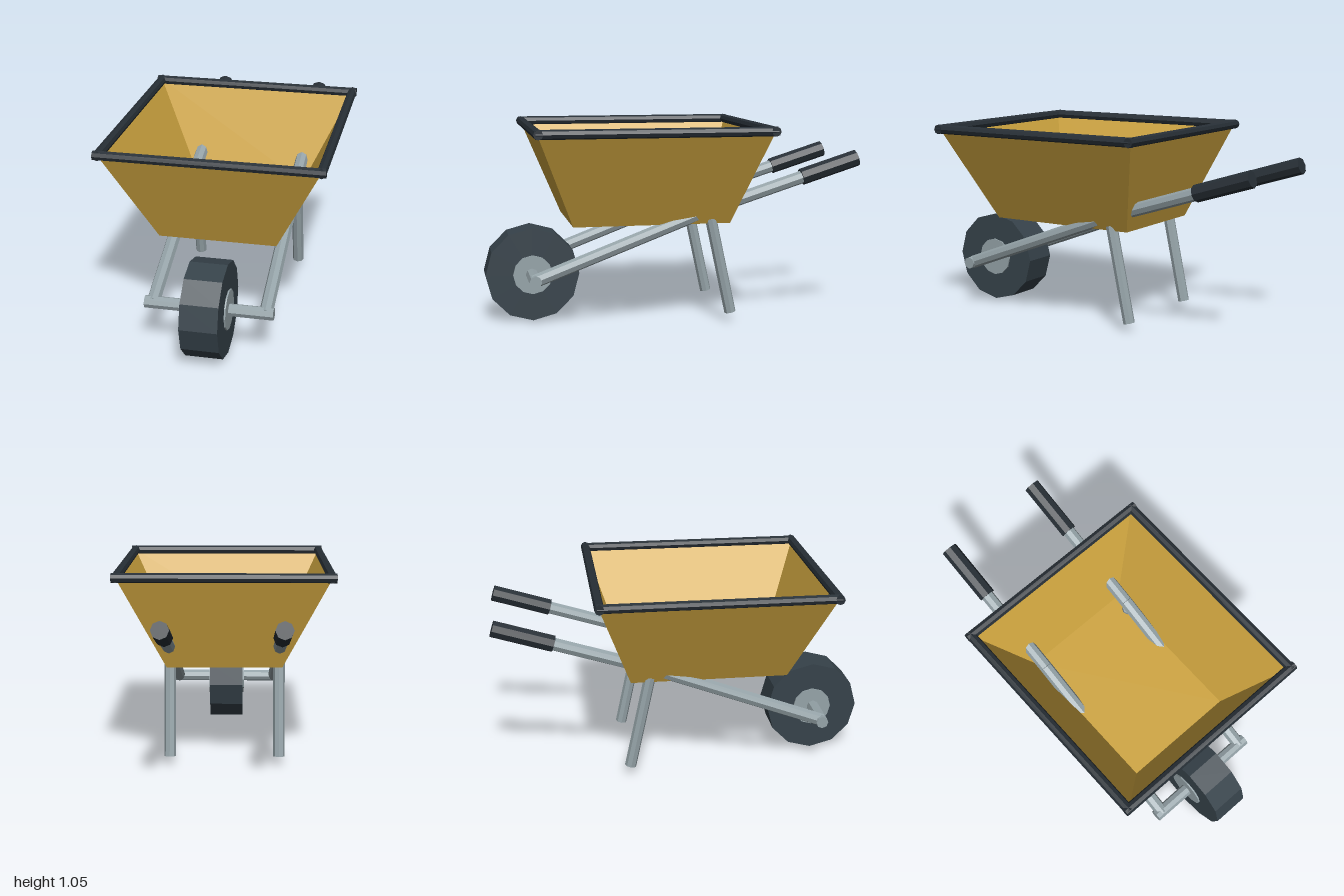
import * as THREE from 'three';

const mat = (name, color, side = THREE.FrontSide) =>
  new THREE.MeshStandardMaterial({ name, color, side, flatShading: true });

export function createModel() {
  const group = new THREE.Group();
  group.name = 'wheelbarrow';
  const yellow = mat('trayYellow', 0xd0a640, THREE.DoubleSide);
  const metal = mat('steelGrey', 0x95a3a8);
  const rubber = mat('tyreRubber', 0x36424a);
  const dark = mat('darkTrim', 0x272f36);

  const add = (name, geometry, material) => {
    const mesh = new THREE.Mesh(geometry, material);
    mesh.name = name;
    group.add(mesh);
    return mesh;
  };

  // Faceted rod between two points
  const rod = (name, a, b, radius, material, sides = 8) => {
    const from = new THREE.Vector3(...a), to = new THREE.Vector3(...b);
    const dir = to.clone().sub(from);
    const mesh = add(name, new THREE.CylinderGeometry(radius, radius, dir.length(), sides), material);
    mesh.position.copy(from).add(to).multiplyScalar(0.5);
    mesh.quaternion.setFromUnitVectors(new THREE.Vector3(0, 1, 0), dir.normalize());
    return mesh;
  };

  // Tray: a thin open box with a tapered floor
  const tray = new THREE.BoxGeometry(2, 2, 2);
  const pos = tray.attributes.position;
  for (let i = 0; i < pos.count; i++) {
    const top = pos.getY(i) > 0;
    const front = pos.getZ(i) > 0;
    pos.setXYZ(i,
      pos.getX(i) * (top ? 0.55 : 0.305),
      top ? 1.03 : 0.53,
      top ? (front ? 0.755 : -0.455) : (front ? 0.555 : -0.28));
  }
  const faces = Array.from(tray.index.array);
  faces.splice(12, 6); // leave the top open
  tray.setIndex(faces);
  tray.clearGroups();
  tray.computeVertexNormals();
  add('tray', tray, yellow);

  // Rolled rim
  for (const [name, z] of [['frontRim', 0.752], ['backRim', -0.452]])
    rod(name, [-0.572, 1.03, z], [0.572, 1.03, z], 0.025, dark);

  for (const [side, s] of [['left', 1], ['right', -1]]) {
    rod(side + 'Rim', [s * 0.549, 1.03, 0.765], [s * 0.549, 1.03, -0.465], 0.025, dark);

    // Frame pole, bent slightly inside the tray, with its grip
    const x = s * 0.291;
    rod(side + 'FramePole', [x, 0.25, 0.76], [x, 0.613, -0.2], 0.035, metal);
    rod(side + 'HandlePole', [x, 0.613, -0.2], [x, 0.80, -0.79], 0.035, metal);
    rod(side + 'Grip', [x, 0.765, -0.675], [x, 0.862, -0.984], 0.045, dark);

    // Splayed leg
    rod(side + 'Leg', [x, 0.555, -0.178], [x, 0.045, -0.287], 0.031, metal);
  }

  // Wheel, hub and axle
  rod('tyre', [-0.097, 0.25, 0.75], [0.097, 0.25, 0.75], 0.25, rubber, 12);
  rod('hub', [-0.105, 0.25, 0.75], [0.105, 0.25, 0.75], 0.105, metal, 12);
  rod('axle', [-0.332, 0.252, 0.755], [0.332, 0.252, 0.755], 0.033, metal);

  return group;
}
